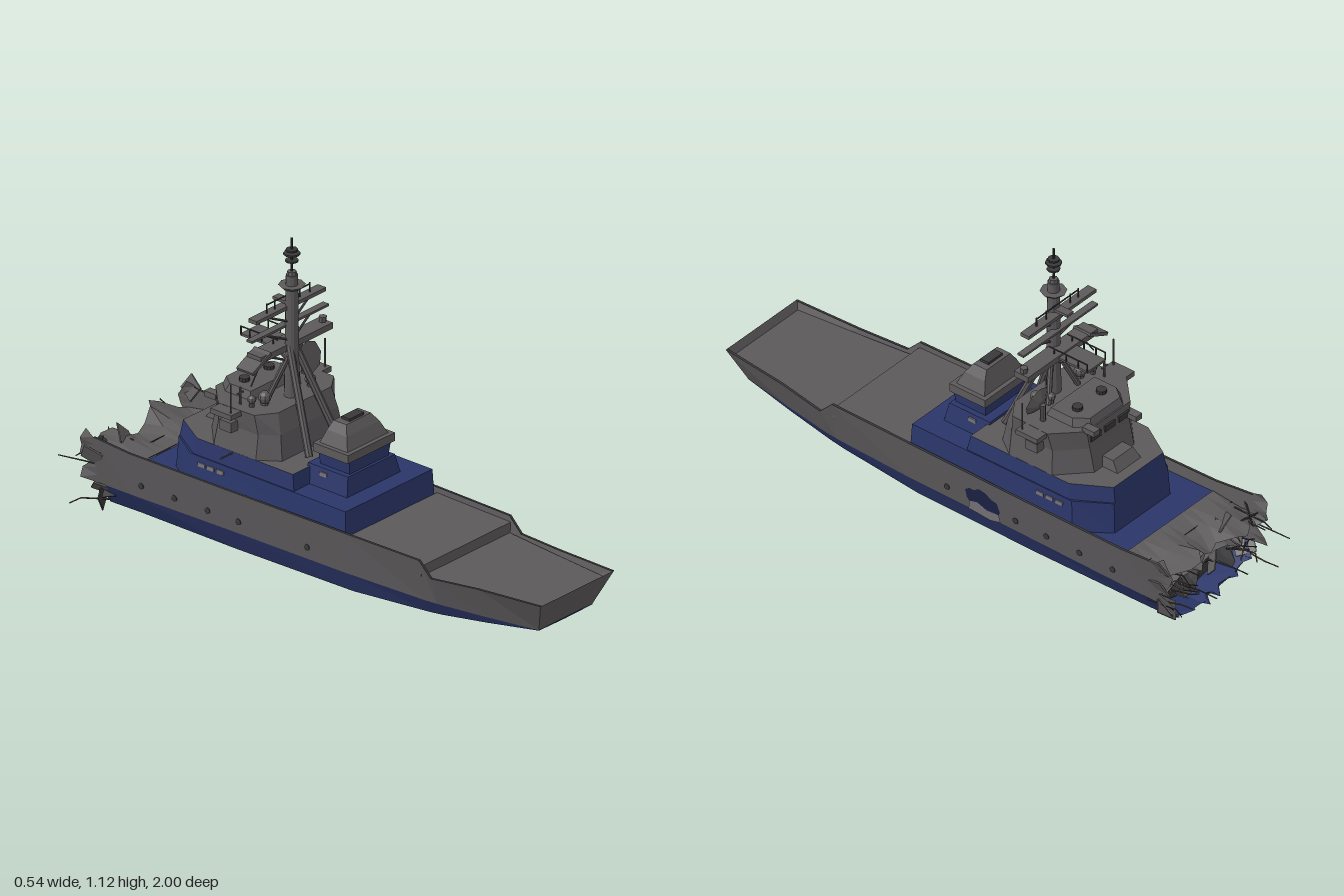
import * as THREE from 'three';

const paint = (name, color, side = THREE.FrontSide) => {
  const m = new THREE.MeshStandardMaterial({ color, side, flatShading: true });
  m.name = name;
  return m;
};

export function createModel() {
  const ship = new THREE.Group();
  ship.name = 'damagedWarship';
  const D = THREE.DoubleSide;
  const grey = paint('hullGrey', 0x5c595b, D), blue = paint('hullBlue', 0x2b3669, D);
  const dark = paint('darkGrey', 0x39383a, D), navy = paint('shadowNavy', 0x1b2344, D);
  const rust = paint('rust', 0x56402f, D), pale = paint('paleGrey', 0x77747a, D);
  let seed = 7;
  const rnd = (a = 0, b = 1) => {
    seed = (seed * 16807) % 2147483647;
    return a + (b - a) * seed / 2147483647;
  };

  const add = (name, geo, mat, x = 0, y = 0, z = 0) => {
    const m = new THREE.Mesh(geo, mat);
    m.name = name;
    m.position.set(x, y, z);
    ship.add(m);
    return m;
  };
  const faces = (name, pos, mat) => {
    const g = new THREE.BufferGeometry();
    g.setAttribute('position', new THREE.Float32BufferAttribute(pos, 3));
    g.computeVertexNormals();
    return add(name, g, mat);
  };
  // Skin stretched between two rows of points
  const ribbon = (name, a, b, mat) => {
    const p = [];
    for (let i = 0; i + 1 < a.length; i++) p.push(...a[i], ...b[i], ...b[i + 1], ...a[i], ...b[i + 1], ...a[i + 1]);
    return faces(name, p, mat);
  };
  const mirror = (row, s = -1) => row.map(([x, y, z]) => [x * s, y, z]);
  // Deckhouse lofted through levels [y, half outline of x,z from aft to forward]
  const house = (name, levels, mat, roof = mat) => {
    const rings = levels.map(([y, half]) => {
      const r = half.map(([x, z]) => [x, y, z]);
      return [...r, ...mirror(r).reverse()];
    });
    for (let k = 0; k + 1 < rings.length; k++) {
      const a = rings[k], b = rings[k + 1];
      ribbon(name, [...b, b[0]], [...a, a[0]], mat);
    }
    const t = rings[rings.length - 1], p = [];
    for (let i = 1; i + 1 < t.length; i++) p.push(...t[0], ...t[i], ...t[i + 1]);
    faces(name + 'Roof', p, roof);
  };
  const rod = (name, a, b, r, mat = grey, r2 = r, n = 8) => {
    const A = new THREE.Vector3(...a), B = new THREE.Vector3(...b), d = B.clone().sub(A);
    const m = add(name, new THREE.CylinderGeometry(r2, r, d.length(), n), mat);
    m.position.copy(A).add(B).multiplyScalar(0.5);
    m.quaternion.setFromUnitVectors(new THREE.Vector3(0, 1, 0), d.normalize());
    return m;
  };
  const box = (name, w, h, d, x, y, z, mat = grey) => add(name, new THREE.BoxGeometry(w, h, d), mat, x, y, z);

  // Hull rows from the transom to the torn bow
  const sheer = [[.18, .265, 1], [.2, .255, .75], [.225, .245, .57], [.226, .295, .52], [.232, .295, .2], [.24, .295, -.3], [.246, .297, -.7], [.25, .31, -.85]];
  const water = [[.13, .148, .95], [.165, .145, .75], [.195, .145, .57], [.2, .145, .52], [.215, .145, .2], [.222, .145, -.3], [.2276, .142, -.7], [.226, .14, -.85]];
  const chine = [[.13, .146, .95], [.15, .118, .75], [.165, .095, .57], [.168, .09, .52], [.18, .068, .2], [.182, .062, -.3], [.18, .062, -.7], [.165, .05, -.85]];
  const keel = [[0, .144, .95], [0, .105, .75], [0, .078, .57], [0, .07, .52], [0, .035, .2], [0, .025, -.3], [0, .02, -.7], [0, .008, -.83]];
  const strakes = [['topsides', sheer, water, grey], ['lowerSides', water, chine, blue], ['bottom', chine, keel, blue]];
  for (const s of [1, -1]) {
    for (const [name, up, low, mat] of strakes) {
      const a = mirror(up, s), b = mirror(low, s);
      s > 0 ? ribbon(name, a, b, mat) : ribbon(name, b, a, mat);
      // ragged plating at the broken end
      const A = a[a.length - 1], B = b[b.length - 1], base = [], torn = [];
      for (let i = 0; i <= 6; i++) {
        const p = A.map((v, k) => v + (B[k] - v) * i / 6);
        base.push(p);
        torn.push([p[0] + s * rnd(-.015, .012), p[1] + rnd(0, .02), p[2] - (mat === blue ? rnd(0, .04) : rnd(0, .085))]);
      }
      ribbon('tornPlating', base, torn, mat);
    }
    const edge = mirror(sheer, s);
    ribbon('bulwarkRim', edge, edge.map(([x, y, z]) => [x - s * .009, y, z]), dark);
  }
  ribbon('transom', [sheer[0], water[0]], mirror([sheer[0], water[0]]), grey);

  // Decks
  const deck = (name, y, ends, mat) => {
    const r = ends.map(([x, z]) => [x, y, z]);
    ribbon(name, r, mirror(r), mat);
  };
  deck('flightDeck', .236, [[.167, .987], [.19, .75], [.215, .52]], grey);
  deck('hangarDeck', .272, [[.22, .52], [.228, .2]], grey);
  deck('mainDeck', .25, [[.225, .2], [.232, -.3], [.239, -.69]], blue);
  box('deckStep', .436, .037, .006, 0, .2535, .52);

  // Torn deck sheets and dark bulkhead at the bow
  const sheet = (name, y, w, z0, reach, mat) => {
    const a = [], b = [], c = [];
    for (let i = 0; i <= 12; i++) {
      const x = w * (i / 6 - 1), wave = Math.sin(i * 1.1 + y * 20) * .014;
      a.push([x, y, z0]);
      b.push([x, y + wave, (z0 + reach) / 2 - .02]);
      c.push([x, y + wave * 1.3 + rnd(-.02, .02), reach + .03 * Math.sin(i * 1.05 + 1.5) - rnd(0, .03)]);
    }
    ribbon(name, a, b, mat);
    ribbon(name, b, c, mat);
  };
  sheet('tornForedeck', .255, .236, -.69, -.88, grey);
  sheet('tornMiddleDeck', .195, .215, -.76, -.86, grey);
  sheet('tornLowerDeck', .125, .2, -.76, -.84, dark);
  ribbon('bowBulkhead', [[.235, .25, -.77], [.222, .142, -.77], [.17, .06, -.77], [0, .02, -.77]],
    [[-.235, .25, -.77], [-.222, .142, -.77], [-.17, .06, -.77], [0, .02, -.77]], dark);
  for (let i = 0; i < 16; i++) {
    const s = i % 2 ? 1 : -1, x = s * rnd(.05, .23), y = rnd(.09, .29), z = rnd(-.88, -.82);
    const p = box('debrisPlate', rnd(.03, .08), .004, rnd(.04, .08), x, y, z, i % 4 === 0 ? dark : grey);
    p.rotation.set(rnd(-1, 1), rnd(-1, 1), rnd(-1, 1));
    const bend = [x + rnd(-.02, .02), y + rnd(-.03, .03), -.91];
    rod('bentBar', [x, y, -.8], bend, .0028, i % 3 ? dark : rust, .0028, 5);
    rod('bentBar', bend, [bend[0] + rnd(-.03, .03), bend[1] + rnd(-.02, .02), rnd(-.97, -.92)], .0022, i % 3 ? dark : rust, .0022, 5);
  }
  rod('bentBar', [-.235, .21, -.86], [-.25, .2, -1], .003, dark, .002, 5);
  for (const [x, y, z, a] of [[.25, .3, -.87, -.35], [-.245, .24, -.86, .3], [-.215, .12, -.84, .6], [.238, .21, -.86, -.3]]) {
    box('peeledPlate', .006, .06, .07, x, y, z).rotation.set(.4, a, a);
  }

  // Portholes and the breach, laid on the flared side
  const sideX = (y, z) => .2178 - .014 * z + (y - .145) / .15 * (.0174 - .002 * z);
  for (const s of [1, -1]) for (const z of [.04, -.25, -.38, -.52, -.66]) {
    add('porthole', new THREE.CylinderGeometry(.011, .011, .006, 10), dark, s * sideX(.19, z), .19, z).rotation.z = Math.PI / 2;
  }
  const patch = (name, pts, off, mat) => {
    const p = [], c = [0, 1].map(k => pts.reduce((t, q) => t + q[k], 0) / pts.length);
    pts.forEach((q, i) => [c, q, pts[(i + 1) % pts.length]].forEach(([z, y]) => p.push(sideX(y, z) + off, y, z)));
    faces(name, p, mat);
  };
  patch('hullBreach', [[-.045, .19], [-.04, .22], [-.06, .235], [-.08, .235], [-.1, .25], [-.13, .245], [-.15, .23], [-.175, .225], [-.185, .19], [-.17, .165], [-.11, .15], [-.06, .17]], .002, navy);
  patch('breachTornPlate', [[-.05, .145], [-.055, .18], [-.09, .19], [-.13, .175], [-.18, .18], [-.185, .15], [-.14, .138], [-.1, .142]], .004, pale);

  // Blue superstructure
  house('lowerHouse', [[.25, [[.217, .2], [.22, -.48], [.14, -.592]]], [.36, [[.212, .195], [.21, -.47], [.135, -.585]]]], blue);
  house('upperHouse', [[.36, [[.207, -.03], [.207, -.46], [.13, -.585]]], [.415, [[.2, -.04], [.2, -.45], [.125, -.575]]]], blue, grey);
  house('aftHouse', [[.36, [[.13, .13], [.13, -.05]]], [.425, [[.115, .12], [.115, -.05]]]], blue);
  for (const s of [1, -1]) for (const z of [.02, -.34, -.38, -.42]) box('houseVent', .006, .014, .03, s * (z > 0 ? .12 : .213), z > 0 ? .405 : .333, z, pale);

  // Aft turret house
  house('aftTower', [[.425, [[.095, .11], [.095, -.015]]], [.475, [[.1, .115], [.1, -.02]]]], blue);
  box('aftTowerPlatform', .23, .03, .15, 0, .487, .045);
  house('aftTowerTop', [[.5, [[.1, .105], [.1, -.015]]], [.545, [[.08, .085], [.08, 0]]], [.575, [[.06, .065], [.06, .01]]]], grey);
  box('aftTowerHatch', .07, .012, .035, 0, .578, .04, dark);

  // Bridge
  house('bridge', [[.41, [[.15, -.13], [.2, -.2], [.2, -.38], [.1, -.475]]], [.5, [[.14, -.145], [.187, -.2], [.187, -.37], [.1, -.455]]],
    [.57, [[.13, -.165], [.195, -.21], [.2, -.36], [.11, -.45]]]], grey);
  house('pilotHouseTop', [[.57, [[.12, -.29], [.12, -.4], [.08, -.445]]], [.597, [[.11, -.3], [.11, -.39], [.075, -.435]]]], grey);
  for (const x of [-.07, 0, .07]) box('bridgeWindow', .05, .022, .008, x, .535, -.454, dark);
  for (const s of [1, -1]) {
    box('bridgeWing', .06, .018, .09, s * .215, .56, -.31);
    box('wingBracket', .035, .035, .05, s * .205, .51, -.31);
    house('bowLocker', [[.41, [[.06, -.46], [.06, -.54]]], [.45, [[.05, -.46], [.05, -.51]]]], grey);
    rod('whipAntenna', [s * .23, .56, -.28], [s * .23, .67, -.28], .003);
    add('roofHatch', new THREE.CylinderGeometry(.018, .018, .014, 10), dark, s * .06, .602, -.37);
  }
  box('searchlight', .03, .02, .05, .1, .575, -.46);
  box('sideLight', .03, .02, .05, -.1, .53, -.47);
  rod('sideSpar', [-.2, .41, -.3], [-.258, .41, -.3], .003);

  // Domes and the dish
  for (const [x, z, r] of [[-.11, -.24, .022], [.09, -.22, .019], [-.15, -.26, .015], [.06, -.26, .015]]) {
    rod('domeStand', [x, .56, z], [x, .59, z], r * .6);
    add('radarDome', new THREE.SphereGeometry(r, 8, 6), grey, x, .595, z);
  }
  rod('smallAerial', [-.16, .57, -.3], [-.16, .63, -.3], .004);
  box('smallAerialArm', .03, .005, .005, -.16, .61, -.3);
  rod('dishStand', [.15, .56, -.3], [.15, .63, -.3], .01);
  const dish = add('radarDish', new THREE.CylinderGeometry(.055, .02, .02, 8), grey, .15, .632, -.285);
  dish.rotation.x = Math.PI / 2 - .25;

  // Mast with legs
  const mz = -.22;
  rod('mast', [0, .42, mz], [0, 1, mz], .028, grey, .02, 12);
  for (const s of [1, -1]) {
    rod('mastLeg', [s * .075, .42, -.08], [s * .012, .75, mz], .013);
    rod('mastRearLeg', [s * .075, .57, -.26], [s * .012, .72, mz], .01);
  }
  add('mastCap', new THREE.CylinderGeometry(.045, .035, .01, 8), grey, 0, .96, mz);
  add('mastHead', new THREE.CylinderGeometry(.015, .02, .025, 8), grey, 0, 1, mz);
  rod('topPole', [0, 1, mz], [0, 1.13, mz], .004, dark);
  for (const [y, r] of [[1.05, .022], [1.075, .028], [1.088, .02]]) add('poleDisc', new THREE.CylinderGeometry(r, r, .006, 8), dark, 0, y, mz);
  box('mastBracket', .03, .01, .08, 0, .9, -.25);

  // Yards with stays and rails
  const yard = (y, x0, x1, h, d, z) => {
    box('yard', x1 - x0, h, d, (x0 + x1) / 2, y, z);
    for (const s of [1, -1]) rod('yardStay', [0, y - .055, mz], [s * .12, y, z], .004);
  };
  yard(.885, -.17, .17, .013, .035, -.24);
  yard(.82, -.185, .19, .008, .025, -.24);
  yard(.745, -.15, .2, .022, .06, -.25);
  const blade = box('yardEndPanel', .1, .012, .07, -.15, .735, -.25);
  blade.rotation.z = .45;
  for (const x of [-.1, -.06, .06, .11]) {
    rod('yardPost', [x, .885, -.24], [x, .925, -.24], .0025, dark);
    add('hangingLamp', new THREE.ConeGeometry(.013, .03, 6), grey, x * .9, .722, -.25).rotation.x = Math.PI;
  }
  rod('yardRail', [-.1, .92, -.24], [.11, .92, -.24], .0025, dark);
  rod('yardAerial', [.185, .74, -.25], [.185, .775, -.25], .011, grey, .014, 6);
  rod('hangingCable', [-.13, .7, -.25], [-.165, .65, -.25], .0025, dark);
  box('radarPlatform', .09, .008, .18, 0, .745, -.31);
  for (const s of [1, -1]) {
    rod('platformRail', [s * .045, .775, -.24], [s * .045, .775, -.4], .0025, dark);
    for (const z of [-.26, -.31, -.36, -.398]) rod('platformPost', [s * .045, .745, z], [s * .045, .775, z], .0025, dark);
  }
  rod('platformBrace', [0, .68, mz], [0, .745, -.34], .005);
  return ship;
}
